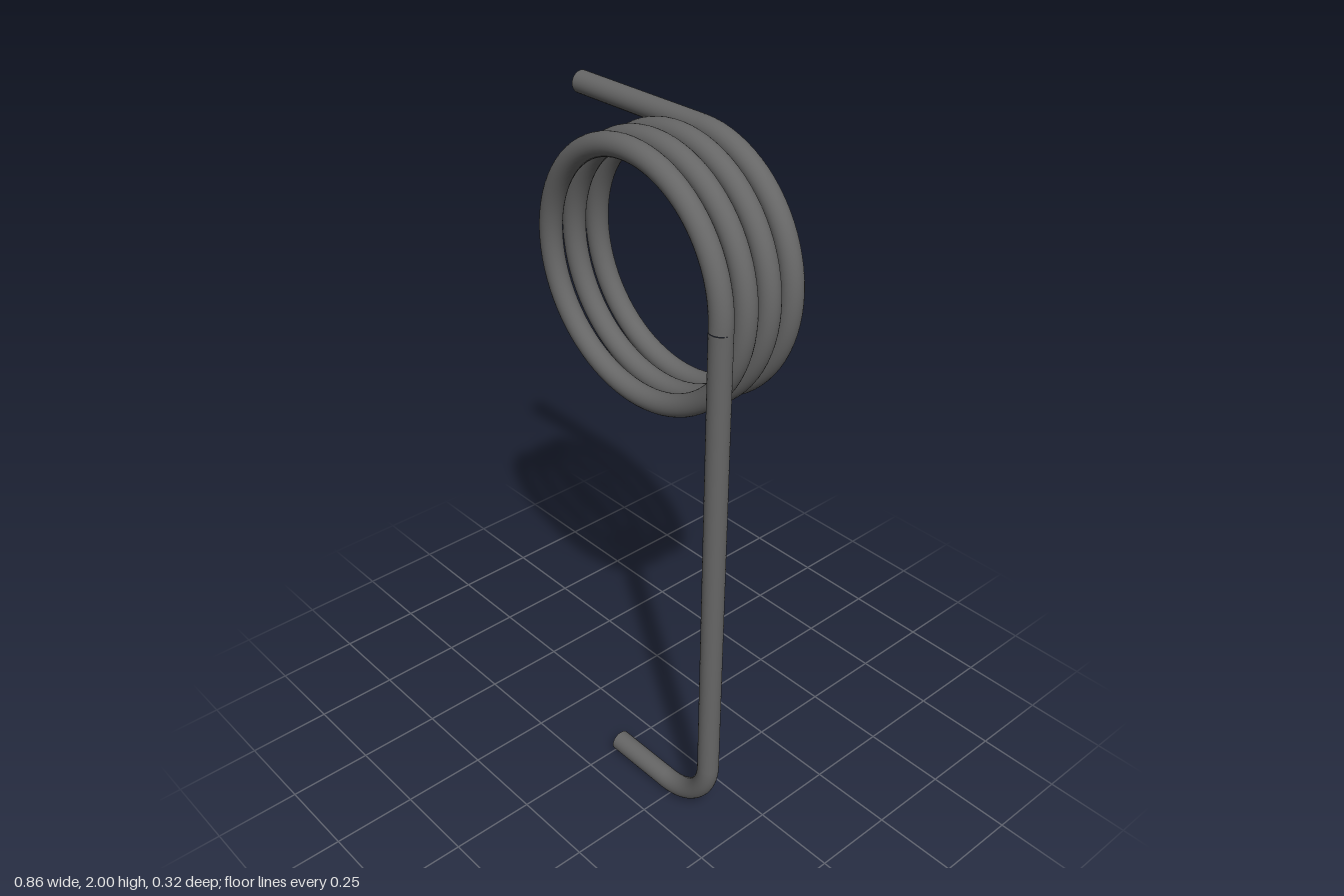
import * as THREE from 'three';

const WIRE = 0.0315; // wire radius
const SIDES = 28;
const COIL = { x: 0.0465, y: 1.62, r: 0.348, z: 0.13, pitch: 0.08, turns: 3.25 };
const BEND = 0.175; // centreline radius of the lower bend

// Helix rising from the front leg and winding towards the back
class Helix extends THREE.Curve {
  getPoint(t, target = new THREE.Vector3()) {
    const a = t * COIL.turns * Math.PI * 2;
    return target.set(
      COIL.x + COIL.r * Math.cos(a),
      COIL.y + COIL.r * Math.sin(a),
      COIL.z - COIL.pitch * COIL.turns * t
    );
  }
}

// Quarter circle in the front plane, from straight down to sideways
class QuarterBend extends THREE.Curve {
  constructor(cx, cy, z) {
    super();
    this.centre = new THREE.Vector3(cx, cy, z);
  }
  getPoint(t, target = new THREE.Vector3()) {
    const a = -t * Math.PI / 2;
    return target.set(Math.cos(a), Math.sin(a), 0).multiplyScalar(BEND).add(this.centre);
  }
}

export function createModel() {
  const group = new THREE.Group();
  const steel = new THREE.MeshStandardMaterial({ color: 0x666666 });
  steel.name = 'darkSteel';

  const add = (name, geometry) => {
    const mesh = new THREE.Mesh(geometry, steel);
    mesh.name = name;
    group.add(mesh);
    return mesh;
  };
  const wire = (name, curve, segments) =>
    add(name, new THREE.TubeGeometry(curve, segments, WIRE, SIDES, false));
  const line = (a, b) => new THREE.LineCurve3(new THREE.Vector3(...a), new THREE.Vector3(...b));

  const legX = COIL.x + COIL.r;
  const backZ = COIL.z - COIL.pitch * COIL.turns;
  const armY = COIL.y + COIL.r;
  const footEnd = [0.003, WIRE, COIL.z];
  const armEnd = [-0.43, armY, backZ];

  // Coil with its two straight legs and the bent foot
  wire('coil', new Helix(), 260);
  wire('longLeg', line([legX, COIL.y, COIL.z], [legX, WIRE + BEND, COIL.z]), 1);
  wire('bend', new QuarterBend(legX - BEND, WIRE + BEND, COIL.z), 20);
  wire('foot', line([legX - BEND, WIRE, COIL.z], footEnd), 1);
  wire('upperArm', line([COIL.x, armY, backZ], armEnd), 1);

  // Flat cut ends, both facing -x
  for (const [name, end] of [['footCap', footEnd], ['armCap', armEnd]]) {
    const cap = add(name, new THREE.CircleGeometry(WIRE, SIDES));
    cap.rotation.y = -Math.PI / 2;
    cap.position.set(...end);
  }
  return group;
}
